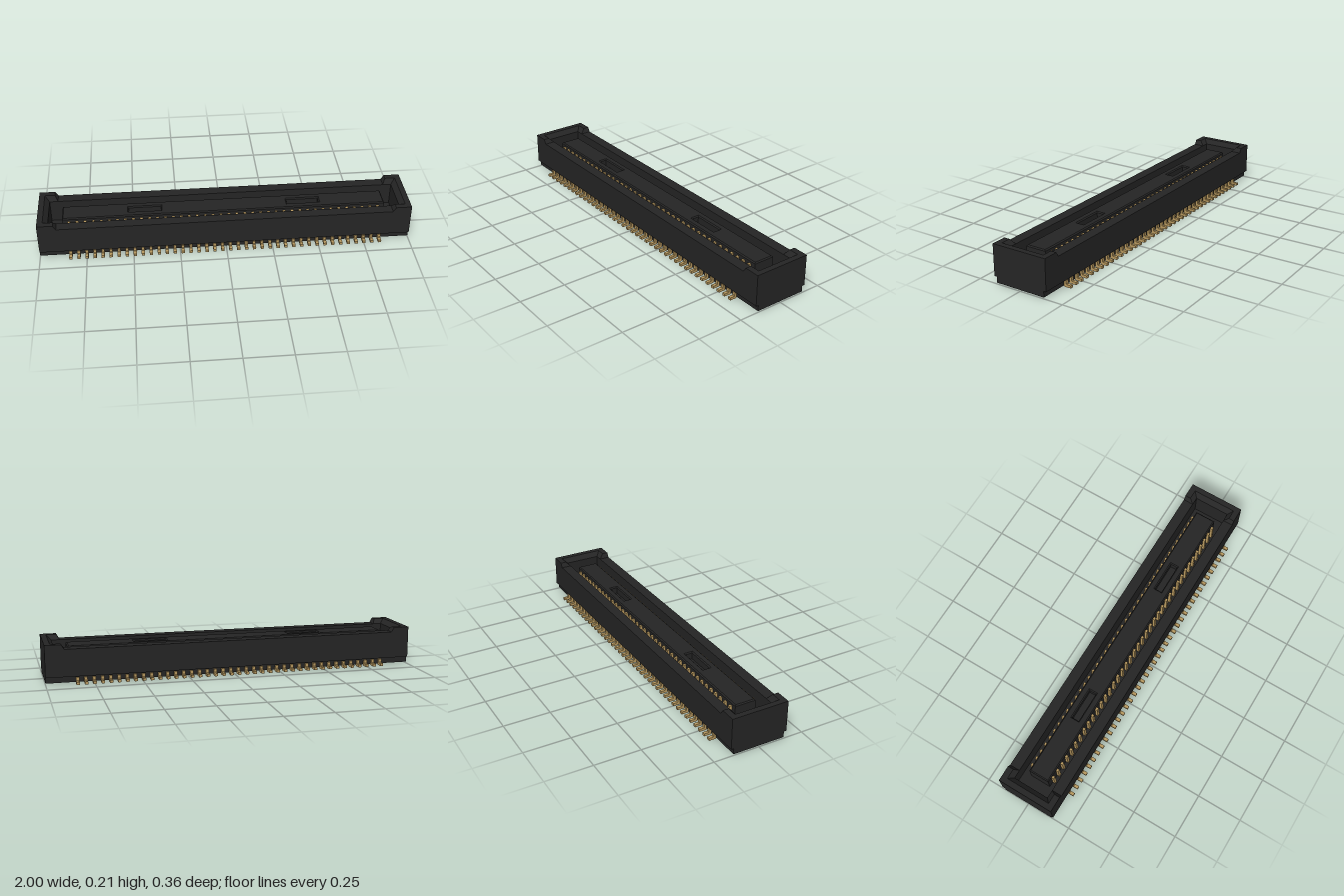
import * as THREE from 'three';

const bodyMat = new THREE.MeshStandardMaterial({ color: 0x252525 });
bodyMat.name = 'black plastic';
const pinMat = new THREE.MeshStandardMaterial({ color: 0xb8995f });
pinMat.name = 'gold plating';

const PIN_COUNT = 40, PITCH = 0.0429, PIN_WIDTH = 0.017;

function add(parent, name, geometry, material) {
  const mesh = new THREE.Mesh(geometry, material);
  mesh.name = name;
  parent.add(mesh);
  return mesh;
}

// Box between two levels whose bottom and top are [x0, x1, z0, z1] rectangles
function taperedBox(y0, y1, bottom, top = bottom) {
  const g = new THREE.BoxGeometry(1, 1, 1), p = g.attributes.position;
  for (let i = 0; i < p.count; i++) {
    const up = p.getY(i) > 0, r = up ? top : bottom;
    p.setXYZ(i, p.getX(i) > 0 ? r[1] : r[0], up ? y1 : y0, p.getZ(i) > 0 ? r[3] : r[2]);
  }
  g.computeVertexNormals();
  return g;
}

// Mirrors a rectangle by signs in x and z, keeping min before max
function mirrored([x0, x1, z0, z1], sx, sz) {
  return [
    Math.min(sx * x0, sx * x1), Math.max(sx * x0, sx * x1),
    Math.min(sz * z0, sz * z1), Math.max(sz * z0, sz * z1),
  ];
}

function rectangle(PathType, x0, x1, z0, z1) {
  return new PathType([[x0, z0], [x1, z0], [x1, z1], [x0, z1]].map(([x, z]) => new THREE.Vector2(x, z)));
}

// Extrudes a plan shape upwards from y0 to y1
function plate(shape, y0, y1, bevel = 0) {
  const g = new THREE.ExtrudeGeometry(shape, {
    depth: y1 - y0 - 2 * bevel, bevelEnabled: bevel > 0,
    bevelSize: bevel, bevelOffset: -bevel, bevelThickness: bevel, bevelSegments: 1,
  });
  g.rotateX(-Math.PI / 2);
  g.translate(0, y0 + bevel, 0);
  return g;
}

function createHousing() {
  const housing = new THREE.Group();
  housing.name = 'housing';
  add(housing, 'base', taperedBox(0.008, 0.042, [-1, 1, -0.143, 0.143]), bodyMat);
  add(housing, 'cavityFloor', taperedBox(0.042, 0.06, [-0.95, 0.95, -0.105, 0.105]), bodyMat);

  // Continuous wall around the cavity
  const wall = rectangle(THREE.Shape, -1, 1, -0.157, 0.157);
  wall.holes.push(rectangle(THREE.Path, -0.945, 0.945, -0.1, 0.1));
  add(housing, 'outerWall', plate(wall, 0.04, 0.185), bodyMat);

  // Raised ends with a sloped lead-in
  for (const sx of [-1, 1]) {
    add(housing, 'endRim', taperedBox(0.185, 0.21,
      mirrored([0.945, 1, -0.13, 0.13], sx, 1), mirrored([0.97, 1, -0.13, 0.13], sx, 1)), bodyMat);
    for (const sz of [-1, 1]) {
      add(housing, 'cornerRim', taperedBox(0.185, 0.21,
        mirrored([0.9, 1, 0.1, 0.157], sx, sz), mirrored([0.915, 1, 0.125, 0.157], sx, sz)), bodyMat);
    }
  }

  // Central tongue with two slots
  const tongue = rectangle(THREE.Shape, -0.873, 0.873, -0.058, 0.058);
  for (const x of [-0.43, 0.43]) {
    tongue.holes.push(rectangle(THREE.Path, x - 0.087, x + 0.087, -0.02, 0.02));
  }
  add(housing, 'tongue', plate(tongue, 0.055, 0.18, 0.006), bodyMat);
  for (const x of [-0.43, 0.43]) {
    add(housing, 'slotFloor', taperedBox(0.06, 0.14, [x - 0.09, x + 0.09, -0.025, 0.025]), bodyMat);
  }
  return housing;
}

function createPins() {
  const pins = new THREE.Group();
  pins.name = 'pins';
  // Bent solder leg, drawn as (outward, up)
  const legShape = new THREE.Shape([
    [0.138, 0.034], [0.138, 0.008], [0.146, 0.001], [0.182, 0.001],
    [0.182, 0.015], [0.158, 0.015], [0.155, 0.018], [0.155, 0.034],
  ].map(([z, y]) => new THREE.Vector2(z, y)));
  const leg = new THREE.ExtrudeGeometry(legShape, { depth: PIN_WIDTH, bevelEnabled: false });
  leg.translate(0, 0, -PIN_WIDTH / 2);
  leg.rotateY(-Math.PI / 2);
  const contact = taperedBox(0.055, 0.162, [-0.0075, 0.0075, 0.056, 0.073], [-0.0075, 0.0075, 0.056, 0.071]);

  for (const side of [0, Math.PI]) {
    for (let i = 0; i < PIN_COUNT; i++) {
      const pin = new THREE.Group();
      pin.name = 'pin';
      pin.position.x = (i - (PIN_COUNT - 1) / 2) * PITCH;
      pin.rotation.y = side;
      add(pin, 'solderLeg', leg, pinMat);
      add(pin, 'contact', contact, pinMat);
      pins.add(pin);
    }
  }
  return pins;
}

export function createModel() {
  const model = new THREE.Group();
  model.name = 'boardConnector';
  model.add(createHousing(), createPins());
  return model;
}
